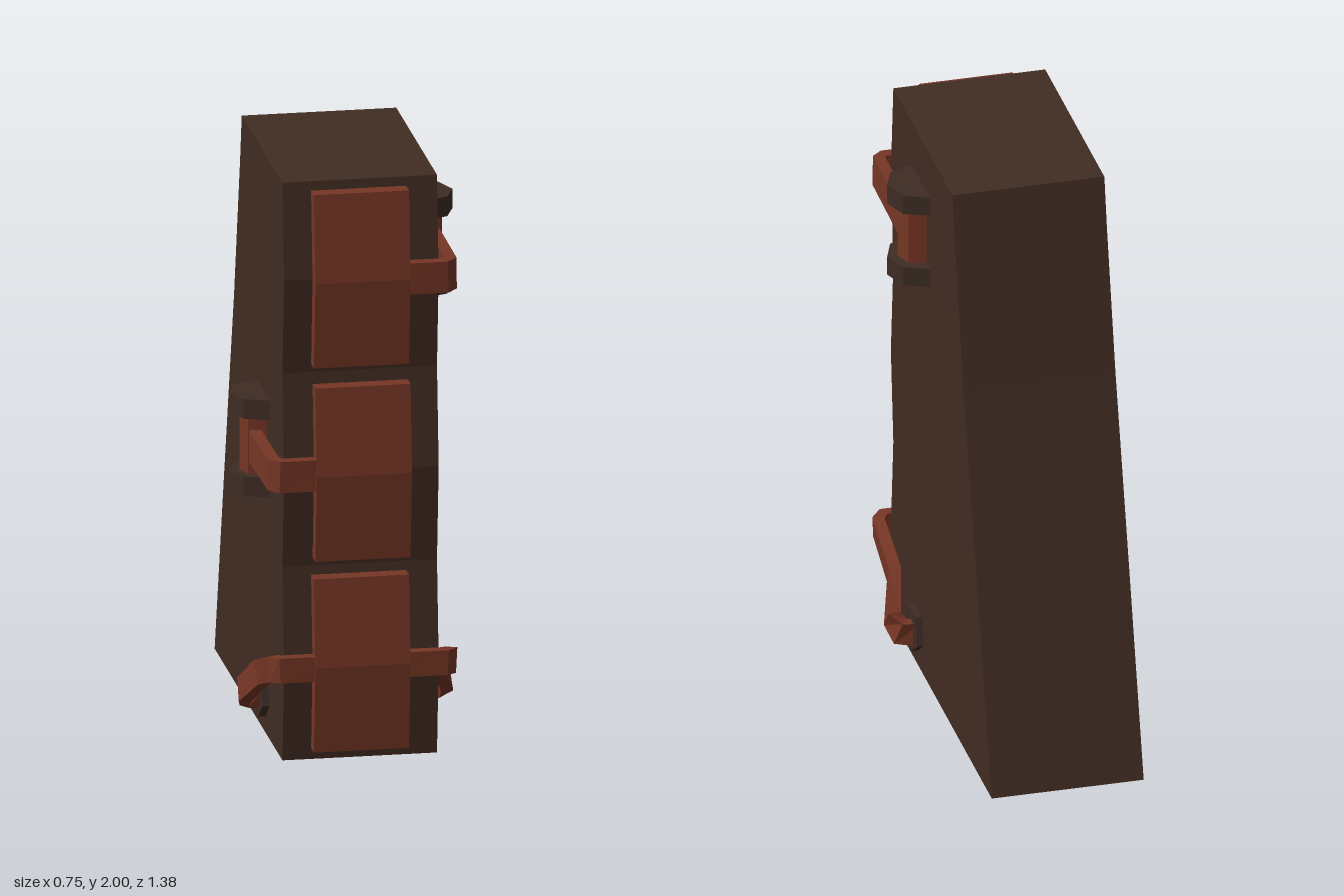
import * as THREE from 'three';

export function createModel() {
  const group = new THREE.Group();
  const mat = (name, color) => {
    const m = new THREE.MeshStandardMaterial({ color, flatShading: true });
    m.name = name;
    return m;
  };
  const darkLeather = mat('dark brown', 0x412c23);
  const redLeather = mat('red brown', 0x763625);
  const fitting = mat('fitting brown', 0x3d2c24);

  const add = (name, geo, material) => {
    const mesh = new THREE.Mesh(geo, material);
    mesh.name = name;
    group.add(mesh);
    return mesh;
  };
  const shape = (pts) => new THREE.Shape(pts.map((p) => new THREE.Vector2(...p)));

  // Side profile given as (z, y), extruded across x
  const sideExtrude = (pts, x0, x1) =>
    new THREE.ExtrudeGeometry(shape(pts), { depth: x1 - x0, bevelEnabled: false })
      .rotateY(-Math.PI / 2).translate(x1, 0, 0);

  // Plan profile given as (x, z), extruded up y
  const planExtrude = (pts, y0, y1) =>
    new THREE.ExtrudeGeometry(shape(pts), { depth: y1 - y0, bevelEnabled: false })
      .rotateX(Math.PI / 2).translate(0, y1, 0);

  // Rectangular strap swept along a path, kept as upright as the path allows
  function strapGeometry(path, width, thick) {
    const pts = path.map((p) => new THREE.Vector3(...p));
    const n = pts.length;
    const pos = [], index = [];
    pts.forEach((p, i) => {
      const a = pts[Math.max(i - 1, 0)], b = pts[Math.min(i + 1, n - 1)];
      const d1 = p.clone().sub(a).normalize(), d2 = b.clone().sub(p).normalize();
      const t = d1.add(d2).normalize();
      const up = new THREE.Vector3(0, 1, 0).addScaledVector(t, -t.y).normalize();
      const side = new THREE.Vector3().crossVectors(t, up);
      for (const [s, u] of [[-1, -1], [1, -1], [1, 1], [-1, 1]]) {
        const v = p.clone().addScaledVector(side, s * thick / 2).addScaledVector(up, u * width / 2);
        pos.push(v.x, v.y, v.z);
      }
    });
    for (let i = 0; i < n - 1; i++) {
      for (let k = 0; k < 4; k++) {
        const a = i * 4 + k, b = i * 4 + (k + 1) % 4;
        index.push(a, b, b + 4, a, b + 4, a + 4);
      }
    }
    const e = (n - 1) * 4;
    index.push(0, 2, 1, 0, 3, 2, e, e + 1, e + 2, e, e + 2, e + 3);
    // Side x up points against the path, so flip the winding outward
    for (let i = 0; i < index.length; i += 3) {
      const ab = new THREE.Vector3(), ac = new THREE.Vector3();
      const [a, b, c] = [0, 1, 2].map((k) => new THREE.Vector3().fromArray(pos, index[i + k] * 3));
      const s0 = Math.floor(Math.min(index[i], index[i + 1], index[i + 2]) / 4);
      const s1 = Math.floor(Math.max(index[i], index[i + 1], index[i + 2]) / 4);
      const centre = pts[s0].clone().add(pts[s1]).multiplyScalar(0.5);
      if (s0 === s1) centre.copy(pts[s0 === 0 ? 1 : n - 2]);
      const normal = ab.subVectors(b, a).cross(ac.subVectors(c, a));
      if (normal.dot(a.add(b).add(c).divideScalar(3).sub(centre)) < 0) {
        [index[i + 1], index[i + 2]] = [index[i + 2], index[i + 1]];
      }
    }
    const g = new THREE.BufferGeometry();
    g.setAttribute('position', new THREE.Float32BufferAttribute(pos, 3));
    g.setIndex(index);
    const flat = g.toNonIndexed();
    flat.computeVertexNormals();
    return flat;
  }

  // Tapered body with three shallow ridges on its front
  add('body', sideExtrude([
    [-0.69, 0], [0.6, 0], [0.632, 0.33], [0.6, 0.67], [0.632, 1.0], [0.6, 1.34],
    [0.632, 1.67], [0.6, 2], [-0.175, 2], [-0.205, 1.84], [-0.32, 1.34], [-0.51, 0.66],
  ], -0.26, 0.26), darkLeather);

  // Bent front plates
  [[0.34, -0.165, 0.155], [1.0, -0.16, 0.16], [1.67, -0.165, 0.155]].forEach(([y, x0, x1], i) => {
    add('frontPlate' + (i + 1), sideExtrude([
      [0.608, y - 0.3], [0.662, y - 0.3], [0.692, y], [0.662, y + 0.3], [0.608, y + 0.3], [0.636, y],
    ], x0, x1), redLeather);
  });

  // Side buckle: strap, upright bar and two end caps
  function sideBuckle(label, y, s) {
    const mirror = (pts) => pts.map(([x, z]) => [x * s, z]);
    add(label + 'Strap', strapGeometry([
      [0.1 * s, y, 0.665], [0.275 * s, y, 0.665], [0.298 * s, y + 0.002, 0.642],
      [0.3 * s, y - 0.002, 0.31], [0.285 * s, y - 0.002, 0.25],
    ], 0.108, 0.042), redLeather);
    add(label + 'Bar', planExtrude(mirror([
      [0.25, 0.16], [0.318, 0.18], [0.34, 0.24], [0.322, 0.3], [0.25, 0.31],
    ]), y - 0.125, y + 0.125), redLeather);
    for (const [end, y0] of [['Lower', -0.168], ['Upper', 0.1]]) {
      add(label + end + 'Cap', planExtrude(mirror([
        [0.25, 0.12], [0.26, 0.12], [0.343, 0.155], [0.375, 0.24], [0.343, 0.325], [0.26, 0.36], [0.25, 0.36],
      ]), y + y0, y + y0 + 0.068), fitting);
    }
  }
  sideBuckle('leftBuckle', 1.67, 1);
  sideBuckle('rightBuckle', 1.005, -1);

  // Lower strap on both sides, hooked into a five-sided stud
  for (const [label, s] of [['left', 1], ['right', -1]]) {
    add(label + 'LowerStrap', strapGeometry([
      [0, 0.335, 0.665], [0.275 * s, 0.335, 0.665], [0.298 * s, 0.332, 0.642],
      [0.3 * s, 0.262, 0.44], [0.338 * s, 0.165, 0.315], [0.32 * s, 0.135, 0.275], [0.26 * s, 0.13, 0.262],
    ], 0.085, 0.042), redLeather);
    const stud = add(label + 'Stud', new THREE.CylinderGeometry(0.085, 0.085, 0.04, 5).rotateZ(Math.PI / 2), fitting);
    stud.position.set(0.264 * s, 0.14, 0.275);
    stud.rotation.x = 0.3;
  }

  return group;
}
